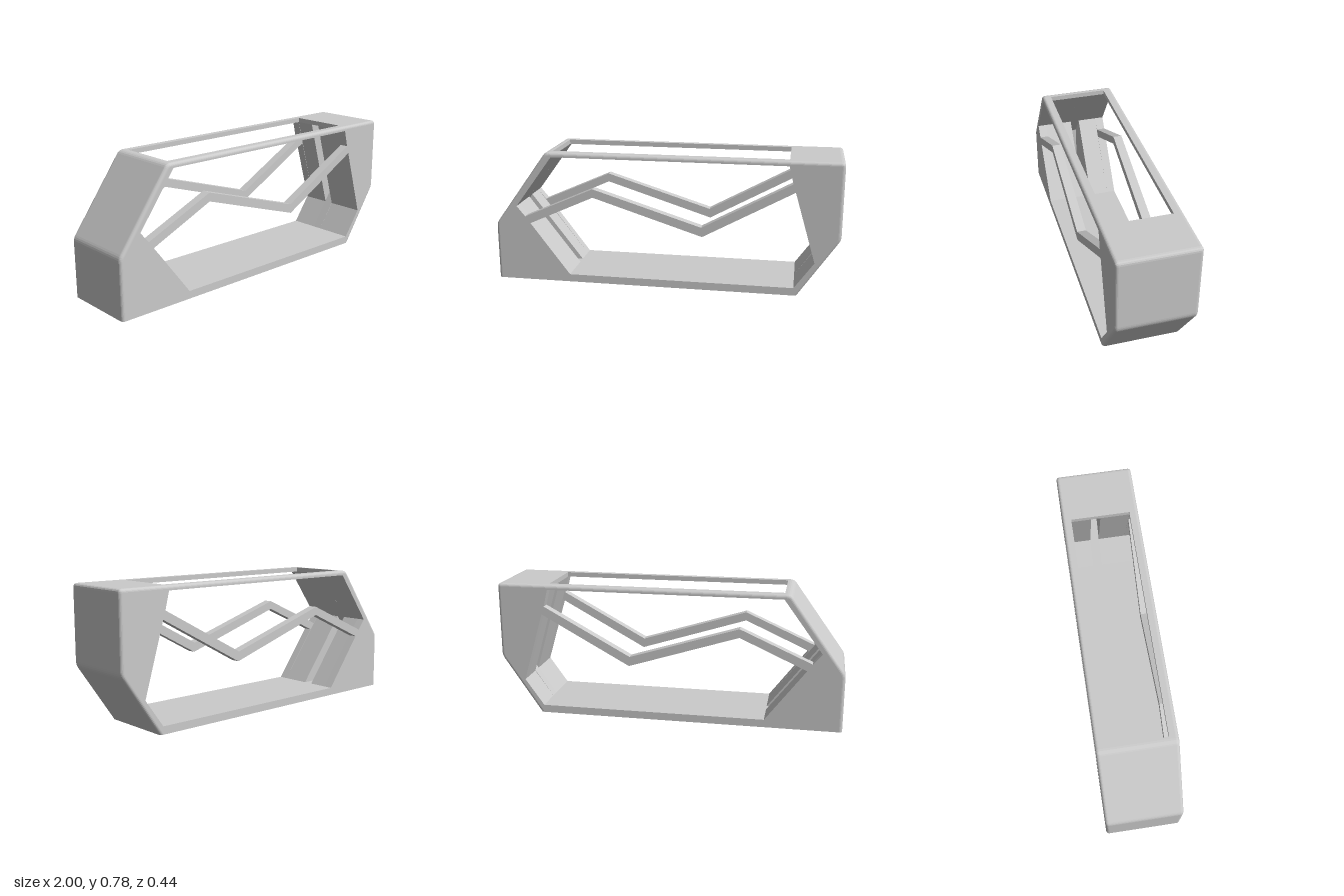
import * as THREE from 'three';

const HALF = 0.222;    // half depth of the body
const INNER = 0.17;    // inner face of the two side frames
const ROUND = 0.018;   // radius of the rounded outer edges
const STEPS = 6;

const vec = (pts) => pts.map(([x, y]) => new THREE.Vector2(x, y));

// Softens one corner with a short curve
function corner(prev, p, next, r = 0.022) {
  const [a, b, c] = vec([prev, p, next]);
  const start = b.clone().add(a.sub(b).setLength(r));
  const end = b.clone().add(c.sub(b).setLength(r));
  return new THREE.QuadraticBezierCurve(start, b, end).getPoints(4);
}

// Outer hexagon, split so the top opening can be cut into it
const HEX = [[-1, 0], [0.77, 0], [1, 0.34], [1, 0.777], [-0.685, 0.777], [-1, 0.34]];
const rightSide = [...vec(HEX.slice(0, 2)),
  ...corner(HEX[1], HEX[2], HEX[3]), ...corner(HEX[2], HEX[3], HEX[4])];
const leftSide = [...corner(HEX[3], HEX[4], HEX[5]), ...corner(HEX[4], HEX[5], HEX[0])];
const OUTLINE = [...rightSide, ...leftSide];

// Moves every outline edge inwards by d, except the flat bottom
function insetOutline(d) {
  const n = OUTLINE.length;
  const line = (i) => {
    const a = OUTLINE[i], b = OUTLINE[(i + 1) % n];
    const nx = b.y - a.y, ny = a.x - b.x, l = Math.hypot(nx, ny);
    const bottom = a.y === 0 && b.y === 0;
    return { x: nx / l, y: ny / l, c: (nx * a.x + ny * a.y) / l - (bottom ? 0 : d) };
  };
  return OUTLINE.map((_, i) => {
    const p = line((i + n - 1) % n), q = line(i);
    const det = p.x * q.y - p.y * q.x;
    return new THREE.Vector2((p.c * q.y - q.c * p.y) / det, (p.x * q.c - q.x * p.c) / det);
  });
}

// Side frame: two windows leave the zigzag bar; its outer rim is rounded
function sideFrame(side) {
  const shape = new THREE.Shape(OUTLINE);
  shape.holes.push(
    new THREE.Path(vec([[-0.82, 0.39], [-0.41, 0.572], [0.22, 0.375], [0.725, 0.65],
      [0.7, 0.75], [-0.65, 0.75], [-0.87, 0.45]])),
    new THREE.Path(vec([[-0.79, 0.35], [-0.56, 0.045], [0.75, 0.045], [0.86, 0.2],
      [0.74, 0.603], [0.225, 0.32], [-0.41, 0.522]])));
  const geo = new THREE.ExtrudeGeometry(shape, { depth: 1, steps: STEPS, bevelEnabled: false });
  const levels = [{ z: INNER, loop: OUTLINE }];
  for (let k = 0; k < STEPS; k++) {
    const a = (k / (STEPS - 1)) * Math.PI / 2;
    levels.push({
      z: HALF - ROUND + ROUND * Math.sin(a),
      loop: insetOutline(ROUND * (1 - Math.cos(a)))
    });
  }
  const pos = geo.attributes.position;
  for (let i = 0; i < pos.count; i++) {
    const k = Math.round(pos.getZ(i) * STEPS);
    const level = levels[side > 0 ? k : STEPS - k];
    const x = pos.getX(i), y = pos.getY(i);
    const j = OUTLINE.findIndex((p) => Math.hypot(p.x - x, p.y - y) < 1e-5);
    if (j >= 0) pos.setXY(i, level.loop[j].x, level.loop[j].y);
    pos.setZ(i, side * level.z);
  }
  geo.computeVertexNormals();
  return geo;
}

// Slab of the body, open at the top, with the given cavity
function openSlab(cavity, z0, z1) {
  const pts = [...rightSide, ...vec([[0.7, 0.777], ...cavity, [-0.65, 0.777]]), ...leftSide];
  const geo = new THREE.ExtrudeGeometry(new THREE.Shape(pts), { depth: z1 - z0, bevelEnabled: false });
  return geo.translate(0, 0, z0);
}

export function createModel() {
  const group = new THREE.Group();
  const material = new THREE.MeshStandardMaterial({ color: 0xcccccc, flatShading: true });
  const add = (name, geo) => {
    const mesh = new THREE.Mesh(geo, material);
    mesh.name = name;
    group.add(mesh);
  };

  add('frontFrame', sideFrame(1));
  add('backFrame', sideFrame(-1));

  // Solid wedge ends, floor and end walls
  const wedged = [[0.7, 0.75], [0.86, 0.2], [0.75, 0.045], [-0.56, 0.045], [-0.87, 0.45], [-0.65, 0.75]];
  add('frontBody', openSlab(wedged, 0, INNER));
  add('backBody', openSlab(wedged, -INNER, -0.055));

  // Narrow slot cut through both wedges, leaving only the outer shell
  const slot = [[0.7, 0.75], [0.96, 0.75], [0.96, 0.35], [0.75, 0.045],
    [-0.96, 0.045], [-0.96, 0.327], [-0.65, 0.75]];
  add('slotShell', openSlab(slot, -0.055, 0));

  return group;
}
